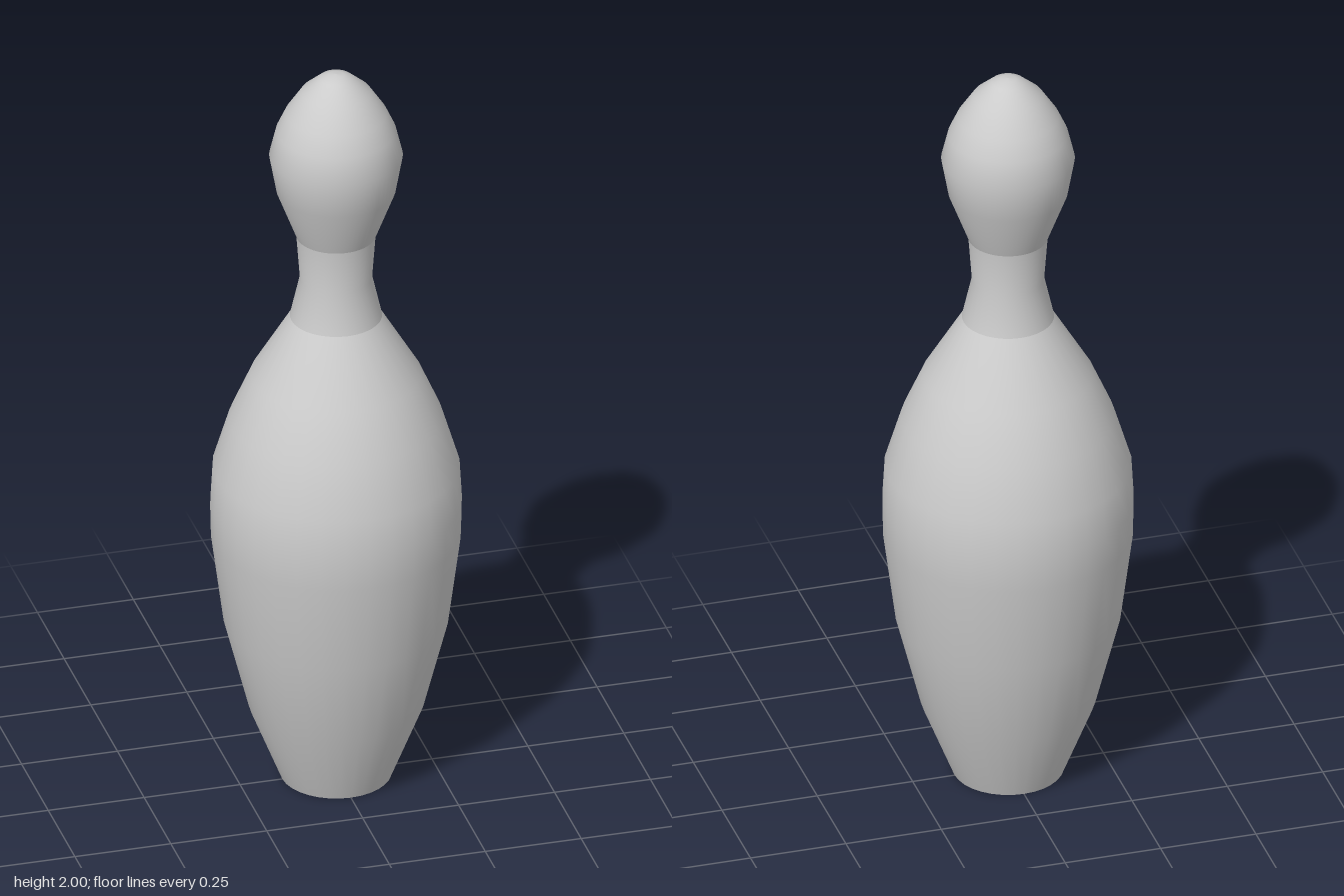
import * as THREE from 'three';

// Each part is a turned section: [radius, height] pairs from bottom to top.
const SECTIONS = {
  body: {
    sides: 32,
    profile: [[0.14, 0], [0.22, 0.2], [0.283, 0.445], [0.315, 0.69], [0.317, 0.78],
      [0.311, 0.885], [0.27, 1.02], [0.215, 1.145], [0.116, 1.31]],
  },
  neck: { sides: 32, profile: [[0.116, 1.31], [0.091, 1.42], [0.1, 1.54]] },
  head: {
    sides: 64,
    profile: [[0.1, 1.54], [0.15, 1.67], [0.168, 1.77], [0.151, 1.84], [0.128, 1.89],
      [0.088, 1.95], [0.042, 1.99], [0.02, 1.998], [0, 2]],
  },
};

export function createModel() {
  const group = new THREE.Group();
  group.name = 'pin';
  const material = new THREE.MeshStandardMaterial({ color: 0xcccccc });

  // Body, neck and head, with a crease where they meet
  for (const [name, { sides, profile }] of Object.entries(SECTIONS)) {
    const points = profile.map(([r, y]) => new THREE.Vector2(r, y));
    const mesh = new THREE.Mesh(new THREE.LatheGeometry(points, sides), material);
    mesh.name = name;
    group.add(mesh);
  }

  // Flat underside
  const base = new THREE.Mesh(new THREE.CircleGeometry(0.14, 32), material);
  base.name = 'base';
  base.rotation.x = Math.PI / 2;
  group.add(base);

  return group;
}
